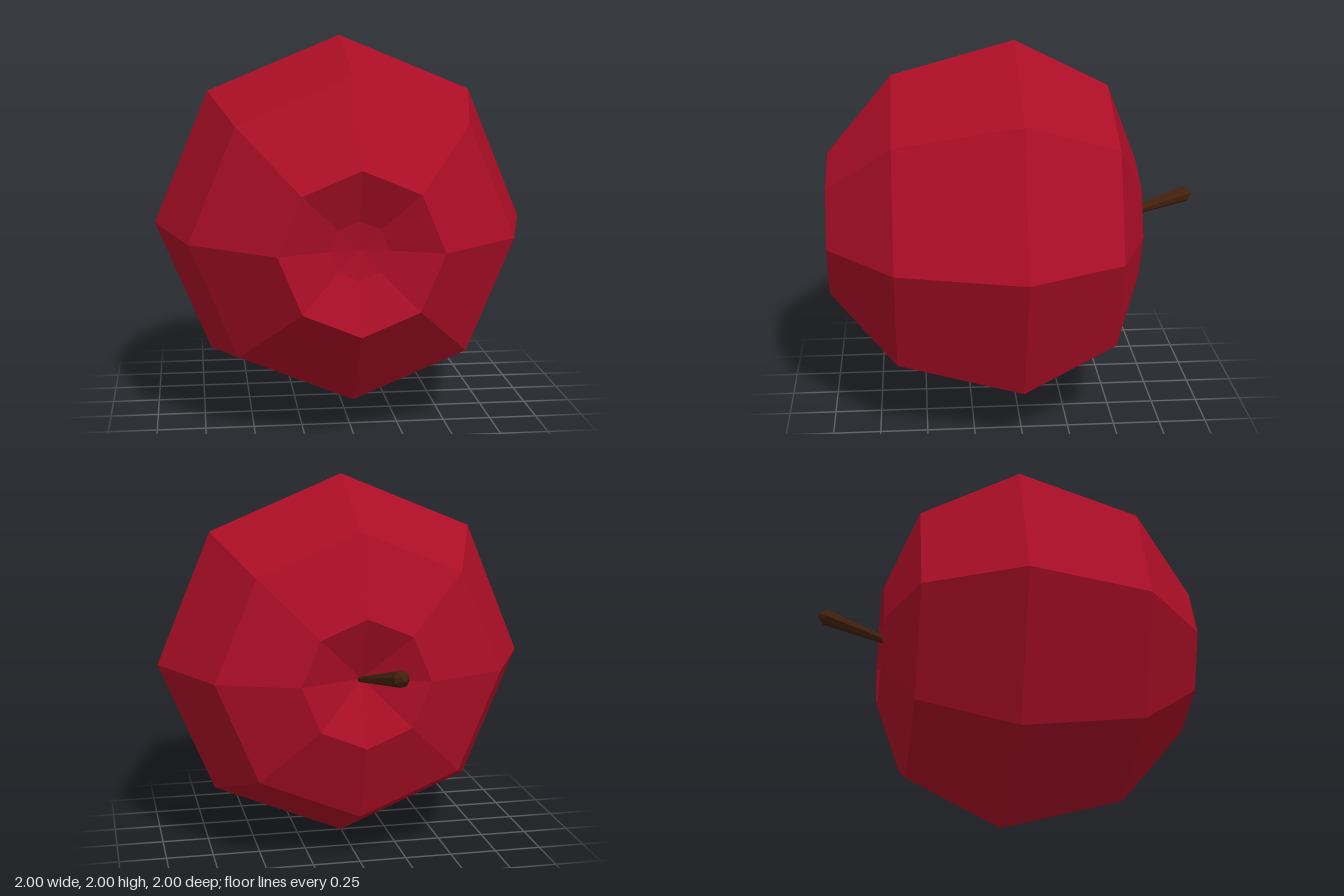
import * as THREE from 'three';

const SIDES = 8;

// Revolves [radius, height] pairs, listed bottom to top, around the y axis
function revolve(profile, material, name) {
  const points = profile.map(([r, h]) => new THREE.Vector2(r, h));
  const mesh = new THREE.Mesh(new THREE.LatheGeometry(points, SIDES), material);
  mesh.name = name;
  return mesh;
}

function flat(name, color) {
  const material = new THREE.MeshStandardMaterial({ color, flatShading: true });
  material.name = name;
  return material;
}

export function createModel() {
  const group = new THREE.Group();
  group.name = 'apple';
  const red = flat('appleRed', 0xab0e26);
  const brown = flat('stemBrown', 0x42210c);

  // Fruit lying on its side: stem dimple at the back, blossom dimple at the front
  const fruit = revolve([
    [0, -0.51], [0.335, -0.66], [0.75, -0.5], [1, 0],
    [0.823, 0.65], [0.405, 1], [0.148, 0.9], [0, 0.88],
  ], red, 'fruit');
  fruit.geometry.rotateX(Math.PI / 2);
  fruit.position.y = 1;
  group.add(fruit);

  // Stem: slanted taper with a thicker bevelled end
  const base = new THREE.Vector3(0.01, 1, -0.53);
  const end = new THREE.Vector3(-0.108, 1.108, -0.995);
  const length = base.distanceTo(end);
  const stem = revolve([
    [0, 0], [0.014, 0], [0.043, length - 0.035], [0.014, length], [0, length],
  ], brown, 'stem');
  stem.position.copy(base);
  stem.quaternion.setFromUnitVectors(new THREE.Vector3(0, 1, 0), end.clone().sub(base).normalize());
  group.add(stem);

  return group;
}
